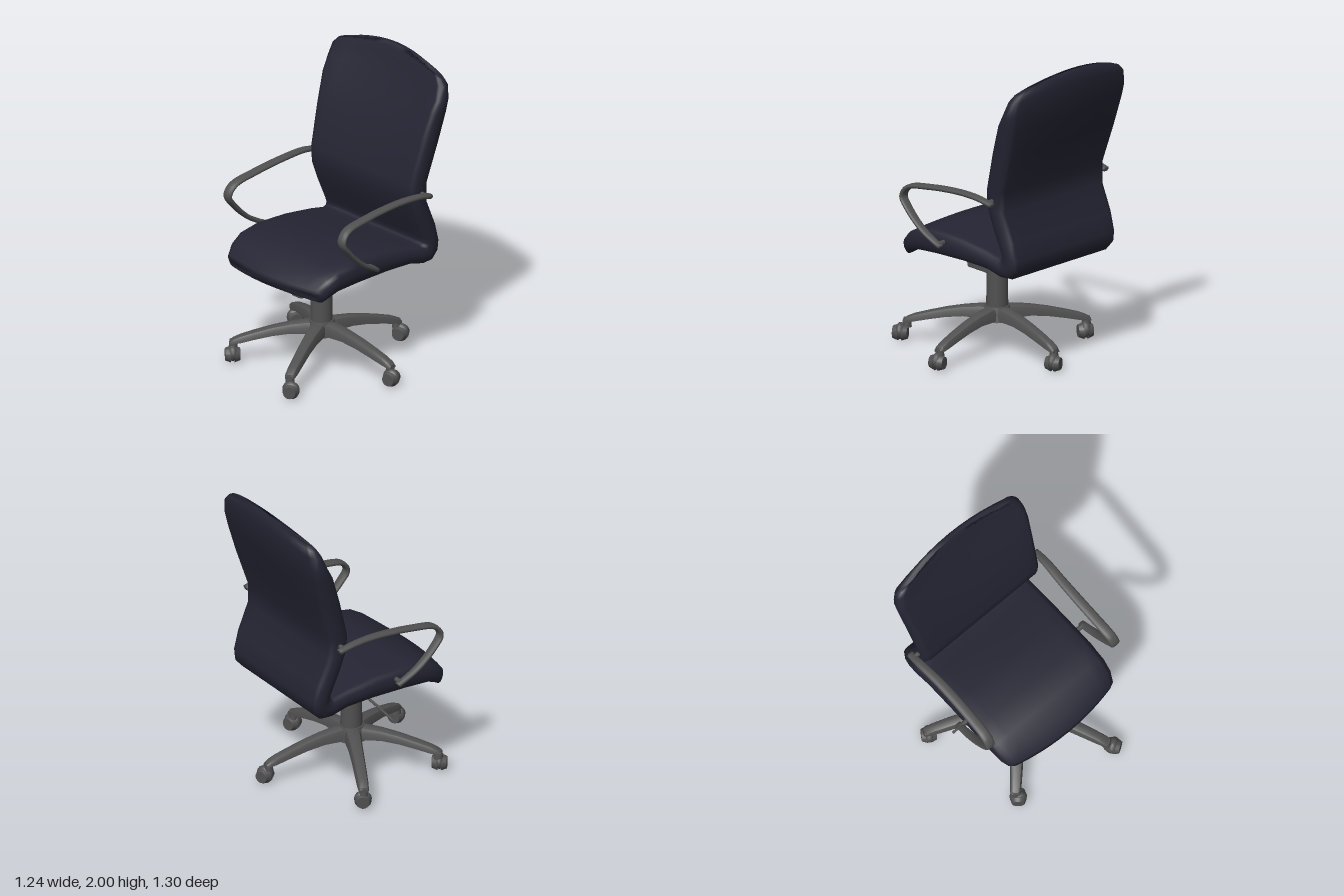
import * as THREE from 'three';
import { toCreasedNormals } from 'three/addons/utils/BufferGeometryUtils.js';

const CX = -0.035, CZ = 0.04; // axis of the column

// Closed solid through a list of equal-length rings of Vector3, capped at both ends
function loft(rings, crease) {
  const n = rings[0].length, pos = [], idx = [];
  rings.forEach(r => r.forEach(p => pos.push(p.x, p.y, p.z)));
  for (let i = 0; i < rings.length - 1; i++) {
    for (let j = 0; j < n; j++) {
      const a = i * n + j, b = i * n + (j + 1) % n;
      idx.push(a, b, b + n, a, b + n, a + n);
    }
  }
  [0, rings.length - 1].forEach((r, end) => {
    const c = rings[r].reduce((s, p) => s.add(p), new THREE.Vector3()).divideScalar(n);
    const k = pos.length / 3;
    pos.push(c.x, c.y, c.z);
    for (let j = 0; j < n; j++) {
      const a = r * n + j, b = r * n + (j + 1) % n;
      if (end) idx.push(k, a, b); else idx.push(k, b, a);
    }
  });
  // Turn the faces outward if the enclosed volume is negative
  const at = i => new THREE.Vector3().fromArray(pos, i * 3);
  let volume = 0;
  for (let i = 0; i < idx.length; i += 3) volume += at(idx[i]).dot(at(idx[i + 1]).cross(at(idx[i + 2])));
  if (volume < 0) idx.reverse();
  const g = new THREE.BufferGeometry();
  g.setAttribute('position', new THREE.Float32BufferAttribute(pos, 3));
  g.setIndex(idx);
  g.computeVertexNormals();
  return crease ? toCreasedNormals(g, crease) : g;
}

// Rounded slab outline: u across (-1..1 plus edge rounding), v through the thickness
function slabOutline(w, round) {
  const pts = [], flat = 10, arc = 6;
  for (const s of [1, -1]) {
    for (let i = 0; i < flat; i++) pts.push([s * (w - round) * (-1 + 2 * i / flat), s]);
    for (let i = 0; i < arc; i++) {
      const a = Math.PI / 2 - Math.PI * i / arc;
      pts.push([s * (w - round + round * Math.cos(a)), s * Math.sin(a)]);
    }
  }
  return pts;
}

// Upholstered seat and back in one shell
function shellGeometry() {
  // upper/front z,y | lower/rear z,y | half width | bow of the sides in z,y
  const stations = [
    [0.517, 0.695, 0.507, 0.66, 0.40, -0.05, 0],
    [0.51, 0.73, 0.467, 0.637, 0.435, -0.05, 0],
    [0.43, 0.79, 0.41, 0.667, 0.46, -0.03, 0],
    [0.32, 0.855, 0.32, 0.71, 0.47, 0, -0.02],
    [0.165, 0.88, 0.14, 0.72, 0.473, 0, -0.02],
    [-0.07, 0.86, -0.10, 0.715, 0.472, 0, -0.01],
    [-0.29, 0.82, -0.30, 0.70, 0.472, 0, 0],
    [-0.40, 0.797, -0.42, 0.67, 0.474, 0, 0],
    [-0.42, 0.805, -0.50, 0.675, 0.475, 0, 0],
    [-0.425, 0.82, -0.55, 0.73, 0.476, 0, 0],
    [-0.415, 0.85, -0.557, 0.80, 0.478, 0, 0],
    [-0.35, 1.00, -0.525, 0.92, 0.482, 0, 0],
    [-0.305, 1.13, -0.447, 1.10, 0.485, 0, 0],
    [-0.305, 1.236, -0.45, 1.236, 0.487, 0.005, 0],
    [-0.39, 1.50, -0.545, 1.50, 0.508, 0.02, 0],
    [-0.47, 1.70, -0.61, 1.70, 0.526, 0.035, 0],
    [-0.53, 1.82, -0.64, 1.82, 0.53, 0.05, -0.04],
    [-0.565, 1.92, -0.648, 1.92, 0.512, 0.05, -0.05],
    [-0.585, 1.97, -0.64, 1.97, 0.475, 0.05, -0.06],
    [-0.60, 2.00, -0.622, 2.00, 0.42, 0.05, -0.07],
  ];
  return loft(stations.map(([fz, fy, rz, ry, w, bz, by]) =>
    slabOutline(w, 0.045).map(([x, v]) => {
      const t = (1 + v) / 2, bow = (x / w) ** 2;
      return new THREE.Vector3(CX + x,
        ry + (fy - ry) * t + by * bow, rz + (fz - rz) * t + bz * bow);
    })));
}

// Flat looped armrest, side = 1 for left and -1 for right
function armGeometry(side) {
  const path = new THREE.CatmullRomCurve3([
    [0.525, 1.167, -0.41], [0.525, 1.188, -0.31], [0.516, 1.192, -0.13], [0.515, 1.168, 0.14],
    [0.52, 1.13, 0.32], [0.525, 1.066, 0.36], [0.528, 0.99, 0.31], [0.525, 0.875, 0.19],
    [0.517, 0.79, 0.045],
  ].map(p => new THREE.Vector3(...p)));
  const rings = [], steps = 40;
  for (let i = 0; i <= steps; i++) {
    const p = path.getPoint(i / steps), t = path.getTangent(i / steps);
    const half = 0.024 + 0.011 * Math.sin(Math.PI * i / steps);
    const ring = [];
    for (let j = 0; j < 12; j++) {
      const a = j / 12 * Math.PI * 2;
      const u = Math.sign(Math.cos(a)) * Math.abs(Math.cos(a)) ** 0.6 * half;
      const v = Math.sin(a) * 0.016;
      ring.push(new THREE.Vector3(CX + side * (p.x + u), p.y - t.z * v, p.z + t.y * v));
    }
    rings.push(ring);
  }
  return loft(rings);
}

// Arched base leg along +x from the hub, tapering to its tip
function legGeometry(length) {
  const section = [[-1, 0], [-0.95, 0.55], [-0.75, 0.88], [-0.35, 1], [0.35, 1], [0.75, 0.88], [0.95, 0.55], [1, 0]];
  const profile = [ // reach, top, bottom, half width
    [0, 0.29, 0.20, 0.058], [0.18, 0.286, 0.205, 0.052], [0.36, 0.27, 0.205, 0.046],
    [0.56, 0.244, 0.187, 0.042], [0.76, 0.21, 0.16, 0.04], [0.92, 0.18, 0.135, 0.037],
    [1, 0.158, 0.125, 0.034], [1.04, 0.14, 0.122, 0.026],
  ];
  return loft(profile.map(([r, top, bottom, w]) =>
    section.map(([u, v]) => new THREE.Vector3(r * length, bottom + (top - bottom) * v, u * w))), 0.7);
}

// Hooded twin-wheel castor standing on the floor
function makeCaster(add) {
  const caster = new THREE.Group();
  caster.name = 'caster';
  for (const s of [-1, 1]) {
    const wheel = add(caster, 'casterWheel', new THREE.CylinderGeometry(s > 0 ? 0.04 : 0.054, s > 0 ? 0.054 : 0.04, 0.036, 18));
    wheel.rotation.x = Math.PI / 2;
    wheel.position.set(0, 0.054, s * 0.03);
  }
  const hood = add(caster, 'casterHood', new THREE.SphereGeometry(0.06, 16, 8));
  hood.scale.set(0.95, 0.9, 0.6);
  hood.position.y = 0.064;
  return caster;
}

export function createModel() {
  const fabric = new THREE.MeshStandardMaterial({ color: 0x242433 });
  fabric.name = 'navy fabric';
  const plastic = new THREE.MeshStandardMaterial({ color: 0x505050 });
  plastic.name = 'grey plastic';

  const chair = new THREE.Group();
  chair.name = 'officeChair';
  const add = (parent, name, geometry, material = plastic) => {
    const mesh = new THREE.Mesh(geometry, material);
    mesh.name = name;
    parent.add(mesh);
    return mesh;
  };

  add(chair, 'seatAndBack', shellGeometry(), fabric);

  // Armrests with their fixings to the seat and back
  for (const side of [1, -1]) {
    const label = side > 0 ? 'left' : 'right';
    add(chair, label + 'Armrest', armGeometry(side));
    for (const [y, z] of [[0.805, 0.065], [1.178, -0.375]]) {
      const fixing = add(chair, label + 'ArmFixing', new THREE.CylinderGeometry(0.016, 0.016, 0.08, 10));
      fixing.rotation.z = Math.PI / 2;
      fixing.position.set(CX + side * 0.48, y, z);
    }
  }

  // Column, hub and flared seat mount
  const column = add(chair, 'column', new THREE.CylinderGeometry(0.066, 0.071, 0.42, 28));
  column.position.set(CX, 0.45, CZ);
  const hub = add(chair, 'hub', new THREE.CylinderGeometry(0.08, 0.1, 0.095, 28));
  hub.position.set(CX, 0.243, CZ);
  const mount = add(chair, 'seatMount', toCreasedNormals(new THREE.CylinderGeometry(0.115, 0.066, 0.19, 8), 0.5));
  mount.scale.x = 0.75;
  mount.position.set(CX, 0.635, CZ);

  // Tilt housing projecting forward under the seat
  const outline = new THREE.Shape([[0, 0.50], [0.21, 0.51], [0.22, 0.55], [0.19, 0.575], [0.12, 0.625],
    [0.07, 0.67], [0, 0.67]].map(([z, y]) => new THREE.Vector2(z, y)));
  const housing = add(chair, 'tiltHousing', new THREE.ExtrudeGeometry(outline,
    { depth: 0.07, bevelSize: 0.008, bevelThickness: 0.012, bevelSegments: 2 }));
  housing.rotation.y = -Math.PI / 2;
  housing.position.set(CX + 0.035, 0, CZ);

  // Height lever on the right
  const leverPath = new THREE.CatmullRomCurve3([[-0.06, 0.64, 0.02], [-0.15, 0.635, 0.01], [-0.22, 0.605, 0],
    [-0.38, 0.58, 0], [-0.48, 0.567, 0], [-0.56, 0.553, 0]].map(p => new THREE.Vector3(...p)));
  add(chair, 'heightLever', new THREE.TubeGeometry(leverPath, 24, 0.009, 8));

  // Five legs, each with a stem and a castor: tip x,z | castor offset x,z | castor turn
  const legs = [
    [0.545, -0.01, 0.015, 0.005, 0.3], [0.235, 0.57, 0.035, 0.025, 0.55], [-0.42, 0.445, 0.01, 0.015, -0.7],
    [-0.57, -0.23, 0.01, 0, 1.0], [0.05, -0.535, 0.02, -0.015, 0.4],
  ];
  for (const [x, z, ox, oz, turn] of legs) {
    const leg = add(chair, 'baseLeg', legGeometry(Math.hypot(x - CX, z - CZ)));
    leg.position.set(CX, 0, CZ);
    leg.rotation.y = -Math.atan2(z - CZ, x - CX);
    const stem = add(chair, 'casterStem', new THREE.CylinderGeometry(0.024, 0.03, 0.06, 14));
    stem.position.set(x, 0.118, z);
    const caster = makeCaster(add);
    caster.position.set(x + ox, 0, z + oz);
    caster.rotation.y = turn;
    chair.add(caster);
  }
  return chair;
}
